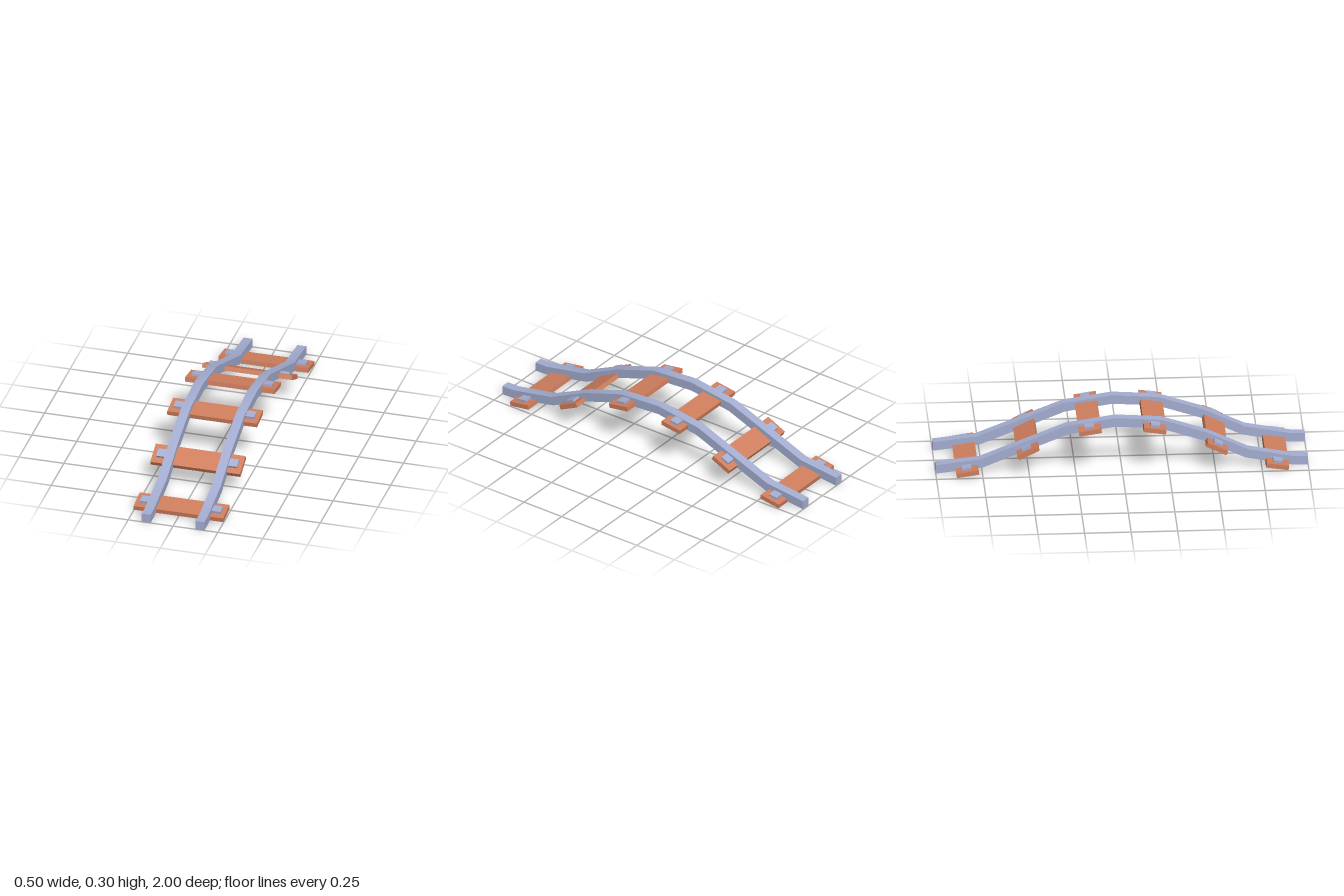
import * as THREE from 'three';
import { toCreasedNormals } from 'three/addons/utils/BufferGeometryUtils.js';

export function createModel() {
  const group = new THREE.Group();
  group.name = 'hillTrack';
  const metal = new THREE.MeshStandardMaterial({ color: 0xa5aed2 });
  metal.name = 'blueGreyMetal';
  const wood = new THREE.MeshStandardMaterial({ color: 0xd07f5e });
  wood.name = 'orangeWood';

  // Centre line of the rail over the hill, as (z, y)
  const path = [
    [1, 0.025], [0.92, 0.027], [0.67, 0.075], [0.445, 0.181], [0.208, 0.259],
    [-0.035, 0.275], [-0.293, 0.236], [-0.758, 0.052], [-1, 0.025],
  ].map(([z, y]) => new THREE.Vector2(z, y));

  // Offset the line to both sides; the ends stay upright
  const half = 0.025;
  const offset = (side) => path.map((p, i) => {
    if (i === 0 || i === path.length - 1) return new THREE.Vector2(p.x, p.y + side * half);
    const a = p.clone().sub(path[i - 1]).normalize();
    const b = path[i + 1].clone().sub(p).normalize();
    const t = a.add(b).normalize();
    return new THREE.Vector2(p.x + t.y * side * half, p.y - t.x * side * half);
  });
  const outline = new THREE.Shape([...offset(1), ...offset(-1).reverse()]);
  let railGeo = new THREE.ExtrudeGeometry(outline, { depth: 0.05, bevelEnabled: false });
  railGeo.translate(0, 0, -0.025);
  railGeo.rotateY(-Math.PI / 2);
  railGeo = toCreasedNormals(railGeo, 0.7);

  for (const side of [-1, 1]) {
    const rail = new THREE.Mesh(railGeo, metal);
    rail.name = side > 0 ? 'leftRail' : 'rightRail';
    rail.position.x = side * 0.15;
    group.add(rail);
  }

  // Sleepers with a metal clip outside each rail: z, y, tilt
  const sleeperGeo = new THREE.BoxGeometry(0.5, 0.025, 0.122);
  const clipGeo = new THREE.BoxGeometry(0.075, 0.025, 0.05);
  for (const [z, y, tilt] of [[0.832, 0.025, 0.155], [0.507, 0.138, 0.45], [0.174, 0.2515, 0.15]]) {
    for (const end of [1, -1]) {
      const tie = new THREE.Group();
      tie.name = 'sleeper';
      const plank = new THREE.Mesh(sleeperGeo, wood);
      plank.name = 'plank';
      tie.add(plank);
      for (const side of [-1, 1]) {
        const clip = new THREE.Mesh(clipGeo, metal);
        clip.name = 'railClip';
        clip.position.set(side * 0.1875, 0.0125, 0);
        tie.add(clip);
      }
      tie.position.set(0, y, end * z);
      tie.rotation.x = end * tilt;
      group.add(tie);
    }
  }
  return group;
}
